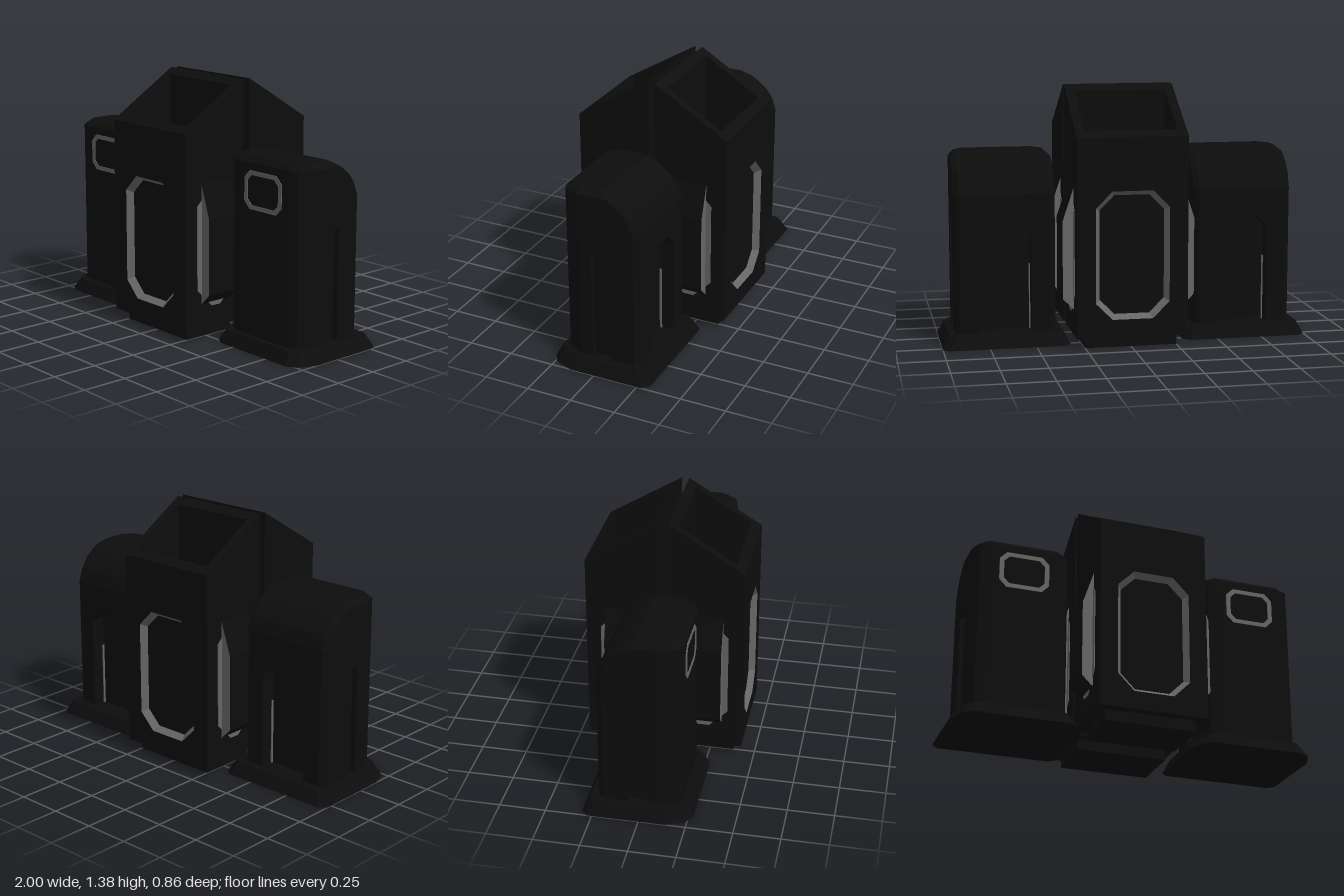
import * as THREE from 'three';

const dark = new THREE.MeshStandardMaterial({ color: 0x0d0d0d, side: THREE.DoubleSide });
dark.name = 'black shell';
const grey = new THREE.MeshStandardMaterial({ color: 0x666666, side: THREE.DoubleSide });
grey.name = 'grey trim';

function add(group, name, geometry, material = dark) {
  const mesh = new THREE.Mesh(geometry, material);
  mesh.name = name;
  group.add(mesh);
  return mesh;
}
const box = (w, h, d, x, y, z) => new THREE.BoxGeometry(w, h, d).translate(x, y, z);
const shapeOf = (pts) => new THREE.Shape(pts.map(([x, y]) => new THREE.Vector2(x, y)));
const extrude = (shape, depth) => new THREE.ExtrudeGeometry(shape, { depth, bevelEnabled: false });

// Slab with a (z, y) profile, running from x0 to x1
const slab = (pts, x0, x1) => extrude(shapeOf(pts), x1 - x0).rotateY(-Math.PI / 2).translate(x1, 0, 0);

// Rectangle with cut corners, counter-clockwise
function octagon(cx, cy, hw, hh, cut) {
  return [[hw, cut - hh], [hw, hh - cut], [hw - cut, hh], [cut - hw, hh],
    [-hw, hh - cut], [-hw, cut - hh], [cut - hw, -hh], [hw - cut, -hh]].map(([x, y]) => [x + cx, y + cy]);
}
function frame(outer, inner, depth) {
  const shape = shapeOf(outer);
  shape.holes.push(new THREE.Path(shapeOf(inner).getPoints()));
  return extrude(shape, depth);
}

// Skin over equal-length rings of [x, y, z], optionally capped
function loft(rings, capped = true) {
  const n = rings[0].length, index = [];
  for (let r = 0; r < rings.length - 1; r++) {
    for (let i = 0; i < n; i++) {
      const j = (i + 1) % n, a = r * n + i, b = r * n + j;
      index.push(a, b, b + n, a, b + n, a + n);
    }
  }
  if (capped) {
    const top = (rings.length - 1) * n;
    for (let i = 1; i < n - 1; i++) index.push(0, i + 1, i, top, top + i, top + i + 1);
  }
  const g = new THREE.BufferGeometry();
  g.setAttribute('position', new THREE.Float32BufferAttribute(rings.flat(2), 3));
  g.setIndex(index);
  const flat = g.toNonIndexed();
  flat.computeVertexNormals();
  return flat;
}

// Mirror the right half of a plan, front to back, into a closed outline of [x, z]
const mirrorPlan = (half) => [...half, ...half.map(([x, z]) => [-x, z]).reverse()];
const atHeight = (plan, y) => plan.map(([x, z]) => [x, y, z]);

// Hollow shell with a sloping open top, facing +z
function createShell() {
  const g = new THREE.Group();
  const slope = (1.385 - 1.135) / 0.41;
  const topAt = (z) => 1.135 + (0.43 - z) * slope;

  for (const x0 of [-0.3, 0.25]) {
    add(g, 'shellSide', slab([[0.02, 0.06], [0.43, 0.06], [0.43, topAt(0.43)], [0.02, topAt(0.02)]], x0, x0 + 0.05));
  }
  add(g, 'shellInnerWall', slab([[0.02, 0.06], [0.07, 0.06], [0.07, topAt(0.07)], [0.02, topAt(0.02)]], -0.25, 0.25));
  add(g, 'shellFrontRim', slab([[0.38, 1.135], [0.43, 1.135], [0.38, topAt(0.38)]], -0.25, 0.25));
  add(g, 'shellBase', box(0.5, 0.08, 0.31, 0, 0.04, 0.225));

  // Front wall with a bevelled recess
  const outer = octagon(0, 0.505, 0.2, 0.345, 0.09);
  const inner = octagon(0, 0.505, 0.175, 0.32, 0.08);
  const wall = [[-0.25, 0.06], [0.25, 0.06], [0.25, 1.135], [-0.25, 1.135]];
  add(g, 'shellFrontWall', frame(wall, outer, 0.05).translate(0, 0, 0.38));
  add(g, 'frontRecessBevel', loft([inner.map(([x, y]) => [x, y, 0.395]), outer.map(([x, y]) => [x, y, 0.43])], false), grey);
  add(g, 'frontRecessFloor', extrude(shapeOf(outer), 0.012).translate(0, 0, 0.382));

  // Tapered side pods on grey side trims
  for (const s of [-1, 1]) {
    const pod = [[0.29, 0.2], [0.3, 0.2], [0.36, 0.26], [0.36, 0.68], [0.3, 0.86], [0.29, 0.86]];
    add(g, 'sidePod', extrude(shapeOf(pod.map(([x, y]) => [x * s, y])), 0.2).translate(0, 0, 0.12), [grey, dark]);
    const x0 = s > 0 ? 0.3 : -0.304;
    add(g, 'sideTrim', slab(octagon(0.22, 0.51, 0.13, 0.33, 0.1), x0, x0 + 0.004), grey);
  }
  return g;
}

// Tower with a rounded back, doorway, side slots and flared foot
function createTower() {
  const g = new THREE.Group();
  const basePlan = (i) => mirrorPlan([[0.25 - i * 0.5, 0.275 - i], [0.305 - i, 0.24 - i], [0.345 - i, 0.14 - i * 0.5],
    [0.345 - i, -0.275 + i], [0.31 - i, -0.31 + i]]);
  add(g, 'towerFoot', loft([atHeight(basePlan(0), 0), atHeight(basePlan(0.035), 0.07)]));

  // Lower body: plan notched for the doorway and the slots
  const lower = mirrorPlan([[0.19, 0.21], [0.24, 0.19], [0.272, 0.11], [0.272, 0.04], [0.24, 0.04], [0.24, -0.07],
    [0.272, -0.07], [0.272, -0.2], [0.245, -0.23], [0.14, -0.23], [0.14, -0.15]]);
  add(g, 'towerBody', extrude(shapeOf(lower.map(([x, z]) => [x, -z])), 0.6).rotateX(-Math.PI / 2).translate(0, 0.07, 0));

  // Upper body: back curves forward, top edge is chamfered
  const upper = (y, i, back) => atHeight(mirrorPlan([[0.19, 0.21 - i], [0.24 - i, 0.19 - i], [0.272 - i, 0.11],
    [0.272 - i, back + 0.03], [0.245 - i, back]]), y);
  add(g, 'towerTop', loft([upper(0.67, 0, -0.23), upper(0.82, 0, -0.23), upper(0.89, 0, -0.205), upper(0.94, 0, -0.17),
    upper(0.98, 0, -0.12), upper(1.0, 0, -0.085), upper(1.03, 0.03, -0.03)]));

  for (const s of [-1, 1]) {
    const corner = [[0.14, 0.67], [0.14, 0.6], [0.08, 0.67]].map(([x, y]) => [x * s, y]);
    add(g, 'doorwayCorner', extrude(shapeOf(corner), 0.08).translate(0, 0, -0.23));
    add(g, 'doorwayStrip', box(0.006, 0.36, 0.012, s * 0.137, 0.25, -0.157), grey);
  }

  // Front window trim
  add(g, 'windowTrim', frame(octagon(0, 0.857, 0.138, 0.103, 0.04), octagon(0, 0.857, 0.113, 0.08, 0.03), 0.006)
    .translate(0, 0, 0.208), grey);
  return g;
}

export function createModel() {
  const model = new THREE.Group();
  model.name = 'model';

  const front = createShell();
  front.name = 'frontShell';
  const back = createShell();
  back.name = 'backShell';
  back.rotation.y = Math.PI;
  model.add(front, back);

  for (const s of [-1, 1]) {
    const tower = createTower();
    tower.name = s > 0 ? 'leftTower' : 'rightTower';
    tower.position.x = s * 0.655;
    model.add(tower);
  }
  return model;
}
